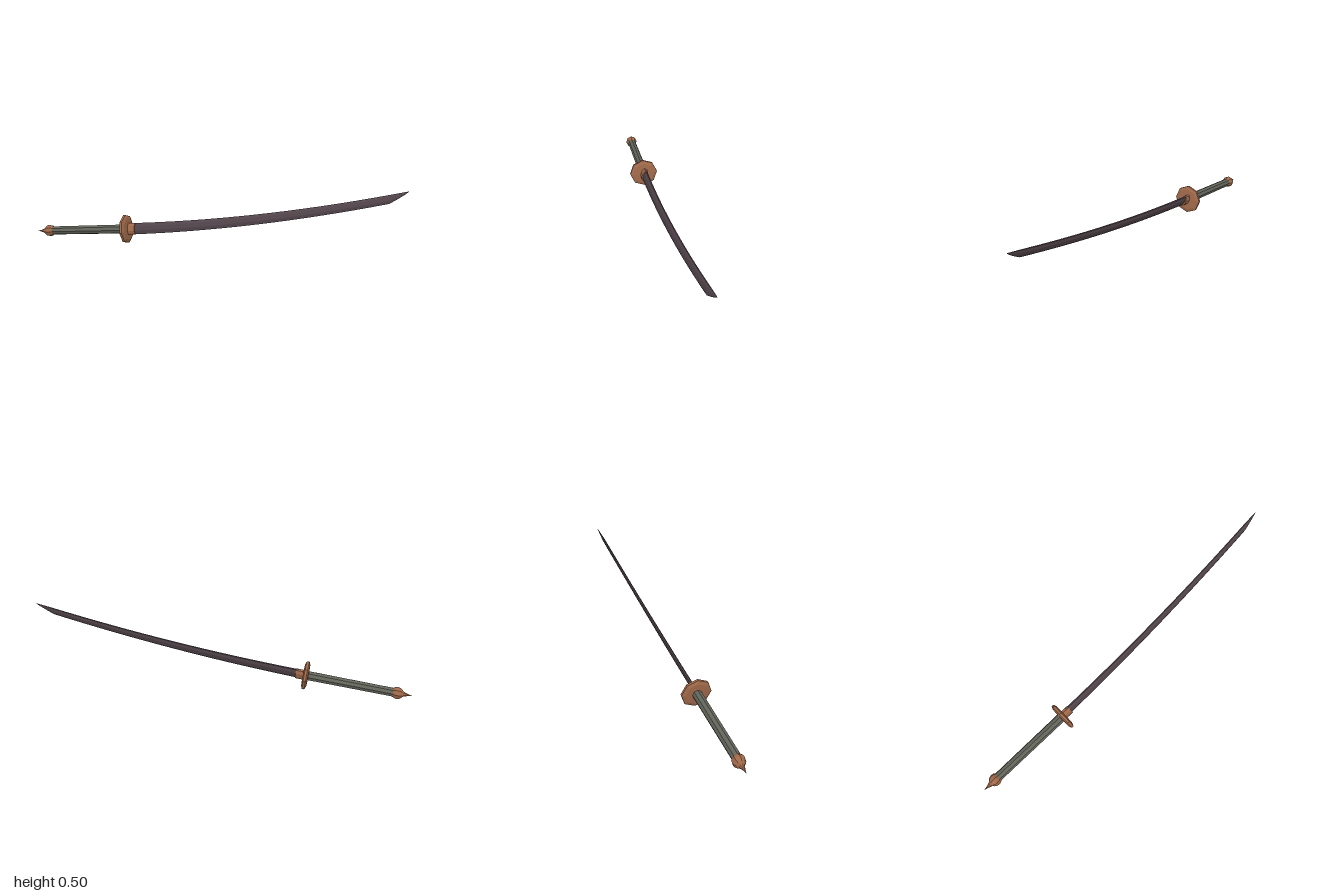
import * as THREE from 'three';

const bronze = new THREE.MeshStandardMaterial({ color: 0xa0694a });
bronze.name = 'bronze';
const wrap = new THREE.MeshStandardMaterial({ color: 0x62645a });
wrap.name = 'greyGreenWrap';
const steel = new THREE.MeshStandardMaterial({ color: 0x51444a });
steel.name = 'darkSteel';

// Faceted normals
function flat(geo) {
  const g = geo.index ? geo.toNonIndexed() : geo;
  g.computeVertexNormals();
  return g;
}

function part(name, geo, material) {
  const mesh = new THREE.Mesh(flat(geo), material);
  mesh.name = name;
  return mesh;
}

// Turned part along the sword's axis (+x); profile is [radius, position]
function turned(name, profile, material, sides = 8) {
  const pts = profile.map(([r, x]) => new THREE.Vector2(r, x));
  const geo = new THREE.LatheGeometry(pts, sides);
  geo.rotateX(0).rotateY(Math.PI / sides).rotateZ(-Math.PI / 2);
  return part(name, geo, material);
}

// Curved single-edged blade: six-point sections lofted along the spine
function bladeGeometry() {
  const start = 0.05, shoulder = 1.83, tip = 1.948, steps = 16, tipSteps = 5;
  const stations = [];
  for (let i = 0; i <= steps; i++) {
    const t = i / steps;
    stations.push([start + (shoulder - start) * t, 0.08 - 0.023 * t, 1 - 0.3 * t]);
  }
  for (let i = 1; i <= tipSteps; i++) {
    const t = i / tipSteps;
    const k = Math.max(0.02, Math.pow(1 - t, 0.8));
    stations.push([shoulder + (tip - shoulder) * t, 0.057 * k, 0.7 * k]);
  }
  const section = [[0, 0.005], [0.3, 0.013], [0.68, 0.012], [1, 0], [0.68, -0.012], [0.3, -0.013], [0, -0.005]];
  const n = section.length;
  const pos = [], index = [];
  for (const [x, width, thick] of stations) {
    const spine = 0.04 + 0.042 * x * x;
    for (const [d, z] of section) pos.push(x + d * width * 0.12 * -1, spine - d * width, z * thick);
  }
  for (let i = 0; i < stations.length - 1; i++) {
    for (let j = 0; j < n; j++) {
      const a = i * n + j, b = i * n + (j + 1) % n;
      index.push(a, b, a + n, b, b + n, a + n);
    }
  }
  // End caps
  const last = (stations.length - 1) * n;
  for (let j = 1; j < n - 1; j++) {
    index.push(0, j + 1, j, last, last + j, last + j + 1);
  }
  const geo = new THREE.BufferGeometry();
  geo.setAttribute('position', new THREE.Float32BufferAttribute(pos, 3));
  geo.setIndex(index);
  return geo;
}

export function createModel() {
  const model = new THREE.Group();
  model.name = 'curvedSword';
  const sword = new THREE.Group();
  sword.name = 'sword';

  sword.add(part('blade', bladeGeometry(), steel));

  // Octagonal bevelled guard
  sword.add(turned('guard', [[0, -0.02], [0.08, -0.017], [0.103, -0.008], [0.103, 0.008], [0.08, 0.017], [0, 0.02]], bronze));

  // Oval collar at the root of the blade
  const collar = turned('collar', [[0, 0], [0.043, 0], [0.043, 0.07], [0, 0.07]], bronze);
  collar.scale.z = 0.55;
  sword.add(collar);

  sword.add(turned('grip', [[0, -0.6], [0.031, -0.6], [0.033, 0], [0, 0]], wrap));

  // Round pommel drawn out into a spike
  const pommel = [[0, -0.718], [0.007, -0.69], [0.019, -0.658]];
  for (let i = 2; i <= 8; i++) {
    const a = (i / 8) * Math.PI;
    pommel.push([Math.max(0, 0.043 * Math.sin(a)), -0.618 - 0.043 * Math.cos(a)]);
  }
  sword.add(turned('pommel', pommel, bronze));

  // Lay the sword diagonally, tip raised and rolled slightly
  const along = new THREE.Vector3(0.627, 0.104, 0.773).normalize();
  const up = new THREE.Vector3(0.264, 0.94, -0.214);
  up.addScaledVector(along, -up.dot(along)).normalize();
  const side = new THREE.Vector3().crossVectors(along, up);
  sword.quaternion.setFromRotationMatrix(new THREE.Matrix4().makeBasis(along, up, side));
  sword.position.set(-0.41, 0.115, -0.445);
  model.add(sword);
  return model;
}
